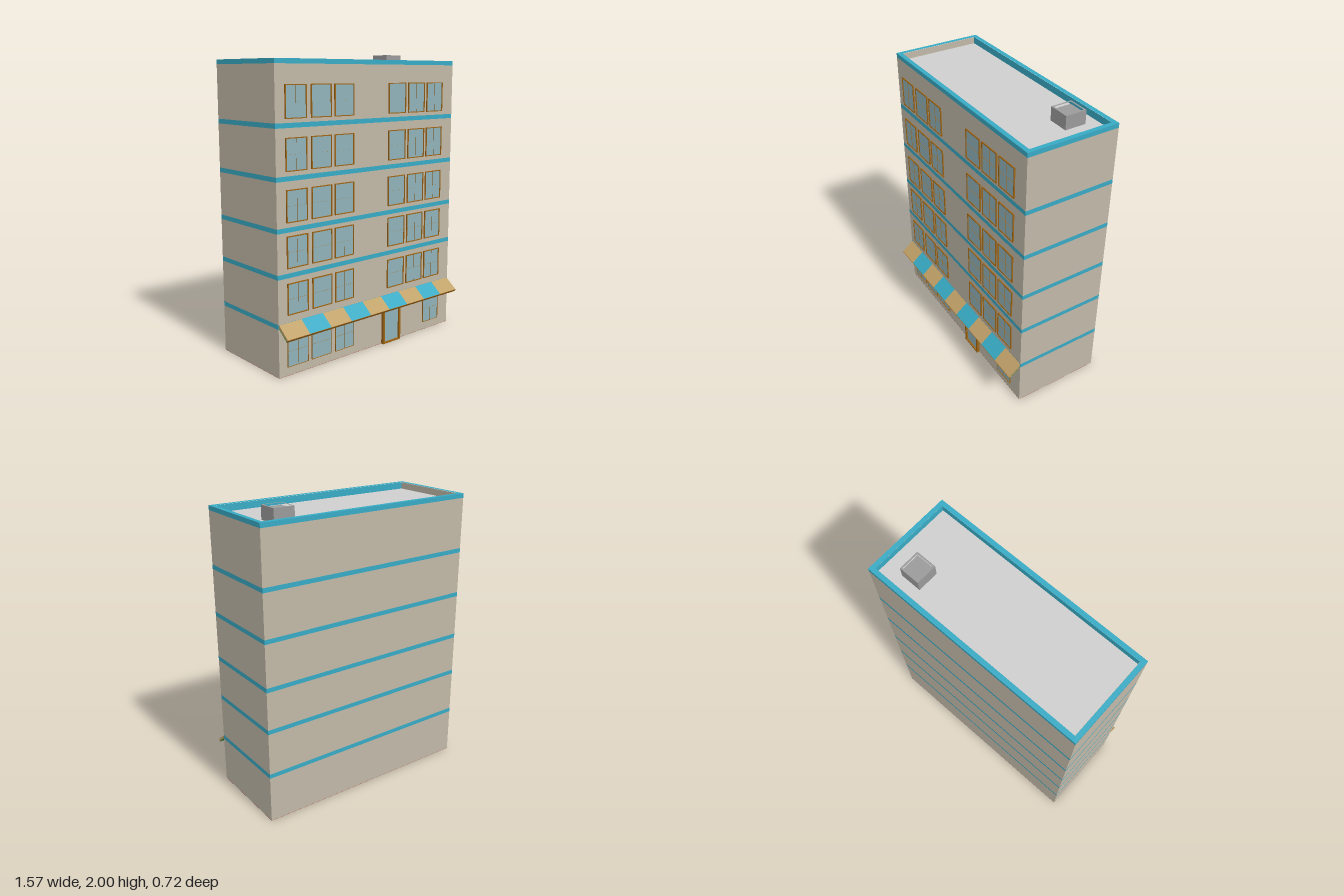
import * as THREE from 'three';

const material = (name, color) => {
  const m = new THREE.MeshStandardMaterial({ color });
  m.name = name;
  return m;
};

export function createModel() {
  const wall = material('stone wall', 0xc1b8a7);
  const teal = material('teal trim', 0x38aac4);
  const tan = material('tan canvas', 0xc0a168);
  const glass = material('window glass', 0x91b2ba);
  const brown = material('brown frame', 0x9c6414);
  const roofGray = material('roof gray', 0xcecece);
  const ventGray = material('vent gray', 0x9a9a9a);
  const base = material('base brown', 0xb3604e);
  const green = material('awning underside green', 0x359035);
  brown.side = THREE.DoubleSide;

  const model = new THREE.Group();
  model.name = 'building';
  const X = 0.785, BACK = -0.358, FRONT = 0.268, ROOF = 1.91, TOP = 1.956;

  // Box given by its limits on each axis
  const box = (parent, name, mat, x0, x1, y0, y1, z0, z1) => {
    const mesh = new THREE.Mesh(new THREE.BoxGeometry(x1 - x0, y1 - y0, z1 - z0), mat);
    mesh.position.set((x0 + x1) / 2, (y0 + y1) / 2, (z0 + z1) / 2);
    mesh.name = name;
    parent.add(mesh);
  };

  // Rectangular ring lying flat, extruded upwards
  const ring = (parent, name, mat, x0, x1, y0, y1, z0, z1, rim) => {
    const rect = (C, r) => new C([
      new THREE.Vector2(x0 + r, -z0 - r), new THREE.Vector2(x1 - r, -z0 - r),
      new THREE.Vector2(x1 - r, -z1 + r), new THREE.Vector2(x0 + r, -z1 + r)]);
    const shape = rect(THREE.Shape, 0);
    shape.holes.push(rect(THREE.Path, rim));
    const geo = new THREE.ExtrudeGeometry(shape, { depth: y1 - y0, bevelEnabled: false });
    geo.rotateX(-Math.PI / 2);
    const mesh = new THREE.Mesh(geo, mat);
    mesh.position.y = y0;
    mesh.name = name;
    parent.add(mesh);
  };

  // Storeys separated by flush bands
  box(model, 'baseSlab', base, -X, X, 0, 0.002, BACK, FRONT);
  let y = 0.002;
  for (const b of [0.318, 0.632, 0.918, 1.232, 1.55]) {
    box(model, 'storeyWall', wall, -X, X, y, b, BACK, FRONT);
    box(model, 'floorBand', teal, -X, X, b, b + 0.03, BACK, FRONT);
    y = b + 0.03;
  }
  box(model, 'storeyWall', wall, -X, X, y, ROOF - 0.004, BACK, FRONT);

  // Sunken roof and parapet
  const RIM = 0.03, IN = X - RIM;
  ring(model, 'parapetWall', wall, -X, X, ROOF - 0.004, 1.926, BACK, FRONT, RIM);
  ring(model, 'parapetBand', teal, -X, X, 1.926, TOP, BACK, FRONT, RIM);
  box(model, 'roofDeck', roofGray, -IN, IN, ROOF - 0.004, ROOF, BACK + RIM, FRONT - RIM);
  box(model, 'parapetLining', teal, -IN, IN, ROOF, TOP - 0.001, BACK + RIM, BACK + RIM + 0.002);
  box(model, 'parapetLining', teal, -IN, IN, ROOF, TOP - 0.001, FRONT - RIM - 0.002, FRONT - RIM);
  box(model, 'parapetLining', teal, IN - 0.002, IN, ROOF, TOP - 0.001, BACK + RIM, FRONT - RIM);
  box(model, 'parapetLining', wall, -IN, -IN + 0.002, ROOF, TOP - 0.001, BACK + RIM, FRONT - RIM);

  // Roof vent with a recessed top
  ring(model, 'ventCasing', ventGray, 0.484, 0.627, ROOF, 2, -0.245, -0.101, 0.012);
  box(model, 'ventTop', ventGray, 0.494, 0.617, ROOF, 1.985, -0.235, -0.111);

  // Window: pane, frame of width f, and glazing fins standing edge-on
  const FIN = 0.006;
  const addWindow = (x0, y0, upright, f) => {
    const g = new THREE.Group();
    g.name = 'window';
    const w = 0.162, h = 0.203, x1 = x0 + w, y1 = y0 + h, zf = FRONT + 0.008;
    box(g, 'pane', glass, x0 + f, x1 - f, y0 + f, y1 - f, FRONT, FRONT + 0.003);
    for (const fx of [x0, x1 - f]) box(g, 'frameSide', brown, fx, fx + f, y0, y1, FRONT, zf);
    for (const fy of [y0, y1 - f]) box(g, 'frameRail', brown, x0 + f, x1 - f, fy, fy + f, FRONT, zf);
    const fin = (name, geo) => {
      const mesh = new THREE.Mesh(geo, brown);
      mesh.position.set(x0 + w / 2, y0 + h / 2, FRONT + FIN / 2);
      mesh.name = name;
      g.add(mesh);
    };
    fin('crossBar', new THREE.PlaneGeometry(w - 2 * f, FIN).rotateX(Math.PI / 2));
    if (upright) fin('uprightBar', new THREE.PlaneGeometry(FIN, h - 2 * f).rotateY(Math.PI / 2));
    model.add(g);
  };
  const columns = [-0.715, -0.519, -0.332, 0.142, 0.328, 0.513];
  const hasUpright = [true, false, true, false, true, true];
  for (const row of [0.395, 0.692, 0.977, 1.29, 1.604])
    columns.forEach((x, i) => addWindow(x, row, hasUpright[i], 0.006));
  [[-0.721, 0], [-0.529, 1], [-0.332, 2], [0.513, 5]]
    .forEach(([x, i]) => addWindow(x, 0.058, hasUpright[i], 0.002));

  // Door
  const door = new THREE.Group();
  door.name = 'door';
  const dx0 = 0.095, dx1 = 0.263, dTop = 0.275, dz = 0.29;
  for (const x of [dx0, dx1 - 0.014]) box(door, 'doorPost', brown, x, x + 0.014, 0, dTop, FRONT, dz);
  box(door, 'doorLintel', brown, dx0 + 0.014, dx1 - 0.014, dTop - 0.014, dTop, FRONT, dz);
  box(door, 'doorSill', brown, dx0 + 0.014, dx1 - 0.014, 0, 0.01, FRONT, dz);
  box(door, 'doorGlass', glass, dx0 + 0.014, dx1 - 0.014, 0.01, dTop - 0.014, FRONT, FRONT + 0.009);
  model.add(door);

  // Striped awning: sloped profile in (z, y) swept along x
  const awning = new THREE.Group();
  awning.name = 'awning';
  const sweep = (name, mat, x0, x1, points) => {
    const shape = new THREE.Shape(points.map(p => new THREE.Vector2(...p)));
    const geo = new THREE.ExtrudeGeometry(shape, { depth: x1 - x0, bevelEnabled: false });
    geo.rotateY(-Math.PI / 2);
    const mesh = new THREE.Mesh(geo, mat);
    mesh.position.x = x1;
    mesh.name = name;
    awning.add(mesh);
  };
  const A = 0.781, step = (2 * A) / 9;
  for (let i = 0; i < 9; i++)
    sweep('awningStripe', i % 2 ? teal : tan, -A + i * step, -A + (i + 1) * step,
      [[FRONT, 0.347], [0.356, 0.275], [0.346, 0.261], [FRONT, 0.325]]);
  sweep('awningLip', brown, -A, A, [[0.356, 0.275], [0.358, 0.273], [0.348, 0.259], [0.346, 0.261]]);
  sweep('awningUnderside', green, -A, A, [[FRONT, 0.325], [0.346, 0.261], [0.344, 0.258], [FRONT, 0.321]]);
  model.add(awning);

  return model;
}
